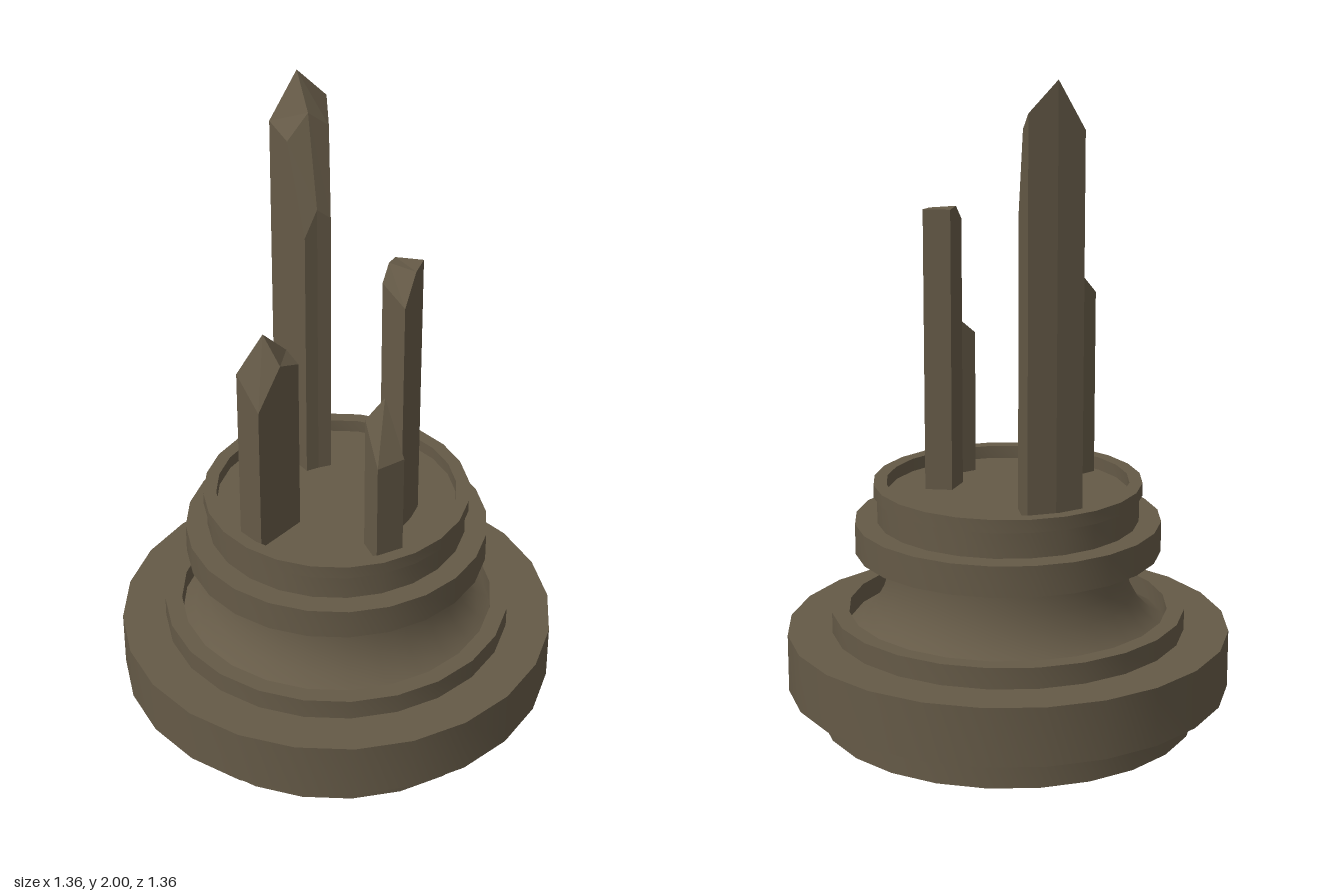
import * as THREE from 'three';
import { toCreasedNormals } from 'three/addons/utils/BufferGeometryUtils.js';

const FLOOR = 0.715; // height of the shallow dish the shards stand in

// Shard: rows of [x, z, y] points (back to front, left to right) form the cut top,
// and walls drop from its border to the dish floor.
function shardGeometry(rows) {
  const pos = [];
  const top = ([x, z, y]) => [x, y, z];
  const foot = ([x, z]) => [x, FLOOR - 0.005, z];
  const quad = (a, b, c, d) => pos.push(...a, ...b, ...c, ...a, ...c, ...d);
  const last = rows.length - 1, side = rows[0].length - 1;

  for (let r = 0; r < last; r++) {
    for (let c = 0; c < side; c++) {
      quad(...[rows[r][c], rows[r + 1][c], rows[r + 1][c + 1], rows[r][c + 1]].map(top));
    }
  }
  const border = [
    ...rows.map((row) => row[0]),
    ...rows[last].slice(1),
    ...rows.slice(0, last).reverse().map((row) => row[side]),
    ...rows[0].slice(1, side).reverse(),
  ];
  border.forEach((p, i) => {
    const q = border[(i + 1) % border.length];
    quad(foot(p), foot(q), top(q), top(p));
  });

  const geometry = new THREE.BufferGeometry();
  geometry.setAttribute('position', new THREE.Float32BufferAttribute(pos, 3));
  geometry.computeVertexNormals();
  return geometry;
}

export function createModel() {
  const model = new THREE.Group();
  model.name = 'shardPedestal';
  const stone = new THREE.MeshStandardMaterial({ color: 0x655a47 });
  stone.name = 'brownStone';

  const add = (name, geometry) => {
    const mesh = new THREE.Mesh(geometry, stone);
    mesh.name = name;
    model.add(mesh);
  };

  // Turned pedestal: hollow foot, wide band, grooved step, flared neck, collar, rimmed dish
  const profile = [
    [0, 0.05], [0.464, 0.05], [0.464, 0], [0.58, 0], [0.58, 0.11],
    [0.68, 0.11], [0.68, 0.29], [0.543, 0.29], [0.543, 0.355], [0.49, 0.355],
    [0.49, 0.295], [0.45, 0.315], [0.41, 0.355], [0.385, 0.4], [0.37, 0.45], [0.365, 0.5], [0.365, 0.54],
    [0.468, 0.54], [0.468, 0.635], [0.4, 0.635], [0.4, 0.715],
    [0.41, 0.715], [0.41, 0.755], [0.37, 0.755], [0.37, FLOOR], [0, FLOOR],
  ].map(([r, y]) => new THREE.Vector2(r, y));
  add('pedestal', toCreasedNormals(new THREE.LatheGeometry(profile, 24), 0.6));

  // Four upright shards
  add('tallShard', shardGeometry([
    [[-0.3, -0.175, 1.855], [-0.243, -0.243, 2], [-0.175, -0.3, 1.91]],
    [[-0.22, -0.13, 1.825], [-0.175, -0.177, 1.905], [-0.13, -0.222, 1.855]],
    [[-0.145, -0.088, 1.545], [-0.12, -0.12, 1.63], [-0.09, -0.15, 1.595]],
  ]));
  add('frontRightShard', shardGeometry([
    [[-0.09, 0.15, 1.31], [-0.045, 0.163, 1.28]],
    [[-0.13, 0.22, 1.39], [-0.065, 0.24, 1.31]],
    [[-0.175, 0.302, 1.29], [-0.09, 0.333, 1.195]],
  ]));
  add('leftShard', shardGeometry([
    [[0.165, -0.045, 1.58], [0.245, -0.065, 1.58]],
    [[0.165, 0, 1.585], [0.25, 0, 1.575]],
    [[0.165, 0.043, 1.54], [0.245, 0.063, 1.485]],
  ]));
  add('frontLeftShard', shardGeometry([
    [[0.215, 0.127, 1.215], [0.297, 0.168, 1.05]],
    [[0.177, 0.18, 1.16], [0.247, 0.243, 1.045]],
  ]));

  return model;
}
